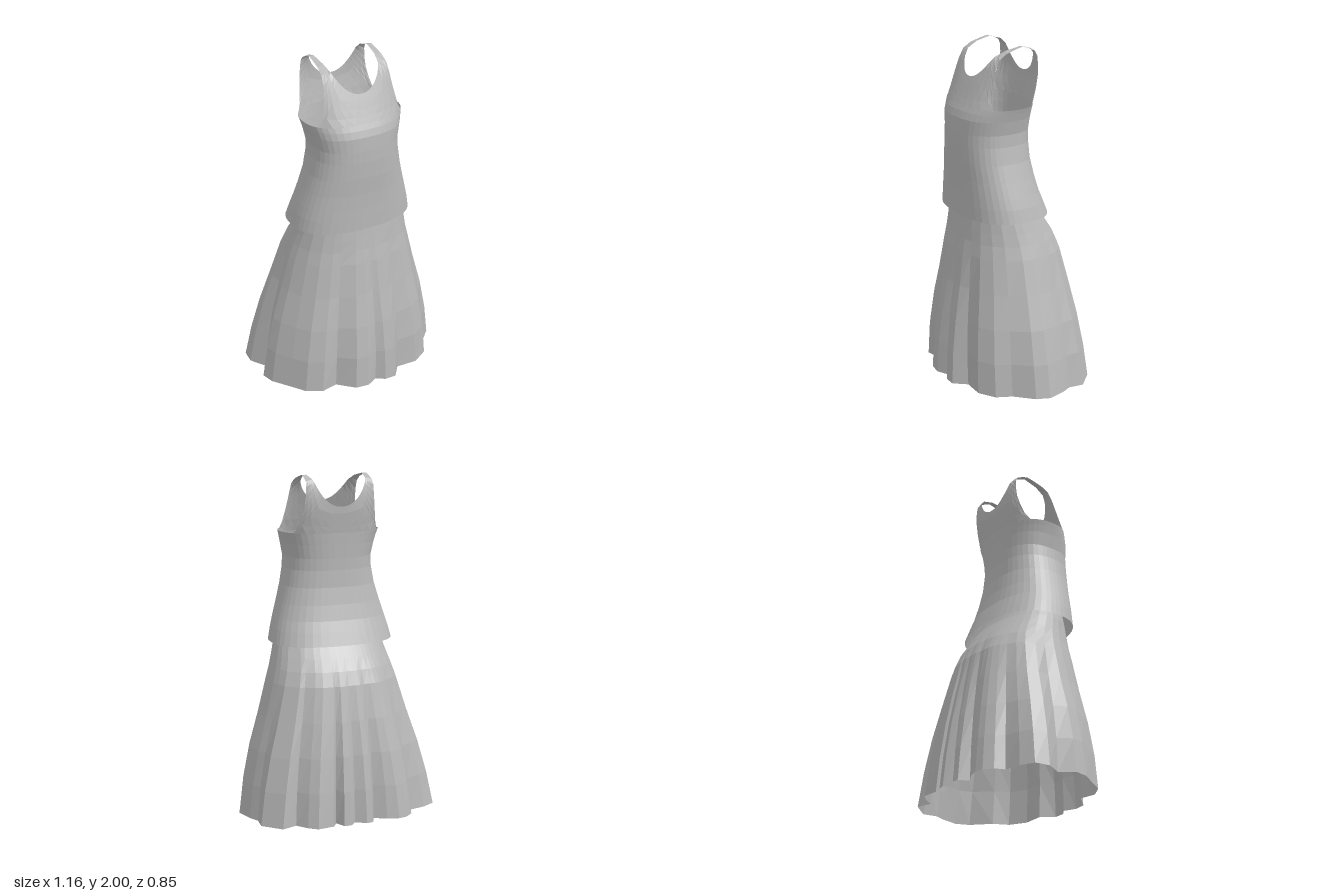
import * as THREE from 'three';

const fabric = new THREE.MeshStandardMaterial({ color: 0xb8b8b8, flatShading: true, side: THREE.DoubleSide });
fabric.name = 'grey fabric';

// Section tables: height, half width, front z, back z
const SKIRT = [
  [0, 0.58, 0.42, -0.425], [0.2, 0.55, 0.41, -0.405], [0.4, 0.505, 0.385, -0.375],
  [0.6, 0.445, 0.35, -0.335], [0.8, 0.39, 0.32, -0.29], [0.88, 0.365, 0.305, -0.255],
  [0.95, 0.345, 0.295, -0.21], [1.03, 0.325, 0.285, -0.155], [1.12, 0.29, 0.28, -0.11], [1.22, 0.25, 0.275, -0.075],
];
const TOP = [
  [1.02, 0.37, 0.31, -0.205], [1.1, 0.352, 0.31, -0.175], [1.16, 0.335, 0.31, -0.152],
  [1.25, 0.308, 0.312, -0.13], [1.35, 0.28, 0.318, -0.113], [1.45, 0.262, 0.32, -0.108],
  [1.52, 0.26, 0.318, -0.11], [1.6, 0.278, 0.312, -0.115], [1.64, 0.29, 0.298, -0.118],
  [1.67, 0.3, 0.283, -0.12], [1.72, 0.3, 0.26, -0.128], [1.8, 0.31, 0.225, -0.14],
  [1.86, 0.33, 0.197, -0.14], [1.91, 0.35, 0.172, -0.133], [1.95, 0.38, 0.14, -0.122],
  [1.98, 0.4, 0.075, -0.095], [2.0, 0.42, -0.02, -0.02],
];
// Lean of the upper garment toward its right
const TOP_SHIFT = -0.013;

// Linear lookup in a section table
function section(table, y) {
  let i = 0;
  while (i < table.length - 2 && table[i + 1][0] < y) i++;
  const t = THREE.MathUtils.clamp((y - table[i][0]) / (table[i + 1][0] - table[i][0]), 0, 1);
  const [, a, front, back] = table[i].map((v, k) => THREE.MathUtils.lerp(v, table[i + 1][k], t));
  return { a, mid: (front + back) / 2, b: (front - back) / 2 };
}

// Radius factor of a superellipse along the direction (s, c)
const superRadius = (s, c, n) => Math.pow(Math.abs(s) ** n + Math.abs(c) ** n, -1 / n);

// Joins rows of points into a surface
function loft(name, rows, closed, flip = false) {
  const n = rows[0].length, index = [];
  for (let i = 0; i < rows.length - 1; i++) {
    for (let j = 0; j < (closed ? n : n - 1); j++) {
      const k = (j + 1) % n;
      const a = i * n + j, b = i * n + k, c = a + n, d = b + n;
      if (flip) index.push(a, d, b, a, c, d);
      else index.push(a, b, d, a, d, c);
    }
  }
  const geo = new THREE.BufferGeometry();
  geo.setAttribute('position', new THREE.Float32BufferAttribute(rows.flat(2), 3));
  geo.setIndex(index);
  geo.computeVertexNormals();
  const mesh = new THREE.Mesh(geo, fabric);
  mesh.name = name;
  return mesh;
}

// Pleated hem outline: x, z
const HEM = [
  [0, 0.385], [0.05, 0.42], [0.12, 0.42], [0.18, 0.345], [0.31, 0.35], [0.41, 0.29], [0.45, 0.2],
  [0.55, 0.1], [0.58, 0.02], [0.55, -0.09], [0.52, -0.15], [0.53, -0.24], [0.43, -0.34], [0.34, -0.31],
  [0.29, -0.375], [0.24, -0.415], [0.14, -0.405], [0.11, -0.36], [0.08, -0.42], [0.04, -0.425],
  [0, -0.385], [-0.06, -0.425], [-0.1, -0.42], [-0.13, -0.36], [-0.2, -0.4], [-0.27, -0.42],
  [-0.32, -0.41], [-0.37, -0.37], [-0.39, -0.31], [-0.49, -0.29], [-0.57, -0.25], [-0.58, -0.16],
  [-0.52, -0.06], [-0.58, 0.02], [-0.56, 0.1], [-0.49, 0.2], [-0.43, 0.29], [-0.34, 0.34],
  [-0.24, 0.32], [-0.15, 0.41], [-0.07, 0.42],
];

// Skirt: pleats fade out into a smooth waist
function makeSkirt() {
  const hem = section(SKIRT, 0);
  const rows = SKIRT.map(([y]) => {
    const { a, mid, b } = section(SKIRT, y);
    const pleat = Math.pow(Math.max(0, 1 - y / 0.95), 0.9);
    return HEM.map(([x, z]) => {
      const u = x / hem.a, w = (z - hem.mid) / hem.b, len = Math.hypot(u, w);
      const s = u / len, c = w / len;
      const r = THREE.MathUtils.lerp(superRadius(s, c, 2.3), len, pleat);
      return [a * r * s, y, mid + b * r * c];
    });
  });
  return loft('skirt', rows, true);
}

// Bodice: closed tube from the flared hem to the armpits
function makeBodice() {
  const rows = TOP.filter(([y]) => y <= 1.67).map(([y]) => {
    const { a, mid, b } = section(TOP, y);
    return Array.from({ length: 48 }, (_, j) => {
      const t = (j / 48) * Math.PI * 2, s = Math.sin(t), c = Math.cos(t);
      const r = superRadius(s, c, 2.5);
      return [TOP_SHIFT + a * r * s, y, mid + b * r * c];
    });
  });
  return loft('bodice', rows, true);
}

// Chest, back and strap edges: x, y
const ARMHOLE = [
  [0, 1.667], [0.07, 1.667], [0.14, 1.667], [0.2, 1.667], [0.262, 1.667], [0.24, 1.71], [0.226, 1.77], [0.216, 1.83],
  [0.21, 1.89], [0.207, 1.94], [0.204, 1.97], [0.202, 1.99], [0.2, 2.0],
];
const NECK = [
  [0, 1.822], [0.03, 1.825], [0.055, 1.834], [0.078, 1.848], [0.098, 1.866], [0.115, 1.886], [0.13, 1.908], [0.142, 1.93],
  [0.151, 1.95], [0.158, 1.967], [0.163, 1.98], [0.168, 1.992], [0.171, 2.0],
];

// One quarter of the yoke, running from the centre line over the strap
function makeYoke(side, face) {
  const rows = [];
  for (let i = 0; i <= 4; i++) {
    rows.push(ARMHOLE.map(([ox, oy], j) => {
      const x = THREE.MathUtils.lerp(ox, NECK[j][0], i / 4);
      const y = THREE.MathUtils.lerp(oy, NECK[j][1], i / 4);
      const { a, mid, b } = section(TOP, y);
      const depth = b * Math.pow(1 - Math.min(1, x / a) ** 2.5, 0.4);
      return [TOP_SHIFT + side * x, y, mid + face * depth];
    }));
  }
  const name = (side > 0 ? 'left' : 'right') + (face > 0 ? 'FrontYoke' : 'BackYoke');
  return loft(name, rows, false, side * face < 0);
}

export function createModel() {
  const model = new THREE.Group();
  model.name = 'dress';
  const top = new THREE.Group();
  top.name = 'tankTop';
  top.add(makeBodice());
  for (const side of [1, -1]) for (const face of [1, -1]) top.add(makeYoke(side, face));
  model.add(makeSkirt(), top);
  return model;
}
